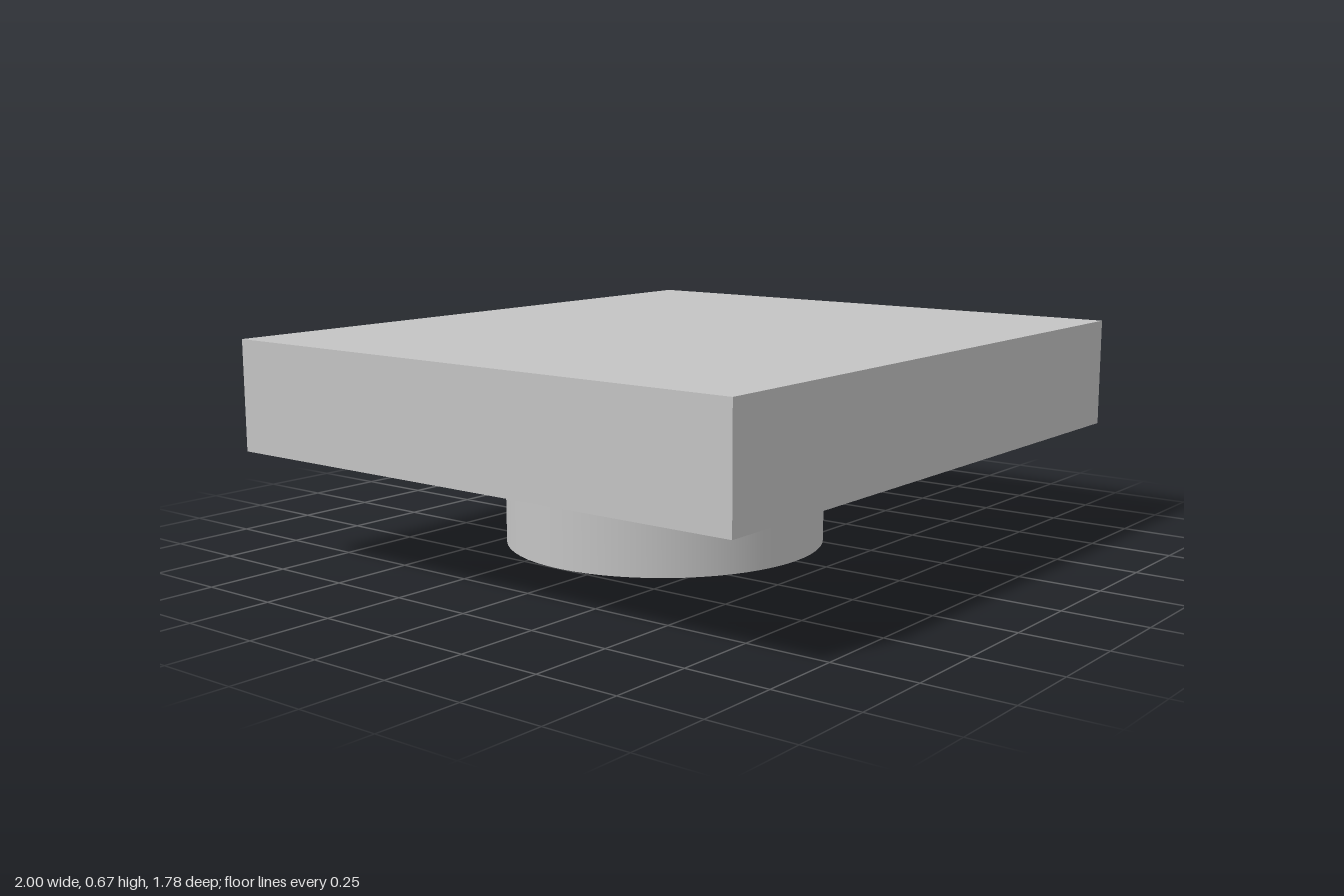
import * as THREE from 'three';

export function createModel() {
  const model = new THREE.Group();
  const grey = new THREE.MeshStandardMaterial({ color: 0xc4c4c4 });
  grey.name = 'light grey';

  const add = (parent, name, geometry, x = 0, y = 0, z = 0) => {
    const mesh = new THREE.Mesh(geometry, grey);
    mesh.name = name;
    mesh.position.set(x, y, z);
    parent.add(mesh);
    return mesh;
  };

  // Thick rectangular slab
  const bottom = 0.336, top = 0.67;
  add(model, 'plate', new THREE.BoxGeometry(2, top - bottom, 1.78), 0, (top + bottom) / 2, 0);

  // Round socket below the slab, set slightly towards the back
  const socket = new THREE.Group();
  socket.name = 'socket';
  socket.position.z = -0.11;
  model.add(socket);

  // One lathe per profile segment keeps the rims sharp and the walls smooth
  const outer = 0.5, inner = 0.35, depth = 0.245;
  const profile = [[0, depth], [inner, depth], [inner, 0], [outer, 0], [outer, bottom]]
    .map(([r, y]) => new THREE.Vector2(r, y));
  ['socketCeiling', 'socketInnerWall', 'socketRim', 'socketOuterWall'].forEach((name, i) =>
    add(socket, name, new THREE.LatheGeometry([profile[i], profile[i + 1]], 64)));

  // Four small grip ribs inside the bore
  const ribReach = 0.03, ribDepth = 0.05, ribWidth = 0.07;
  for (let i = 0; i < 4; i++) {
    const a = i * Math.PI / 2;
    const r = inner - ribReach + ribDepth / 2;
    const rib = add(socket, 'gripRib', new THREE.BoxGeometry(ribWidth, depth, ribDepth),
      Math.sin(a) * r, depth / 2, Math.cos(a) * r);
    rib.rotation.y = a;
  }

  return model;
}
